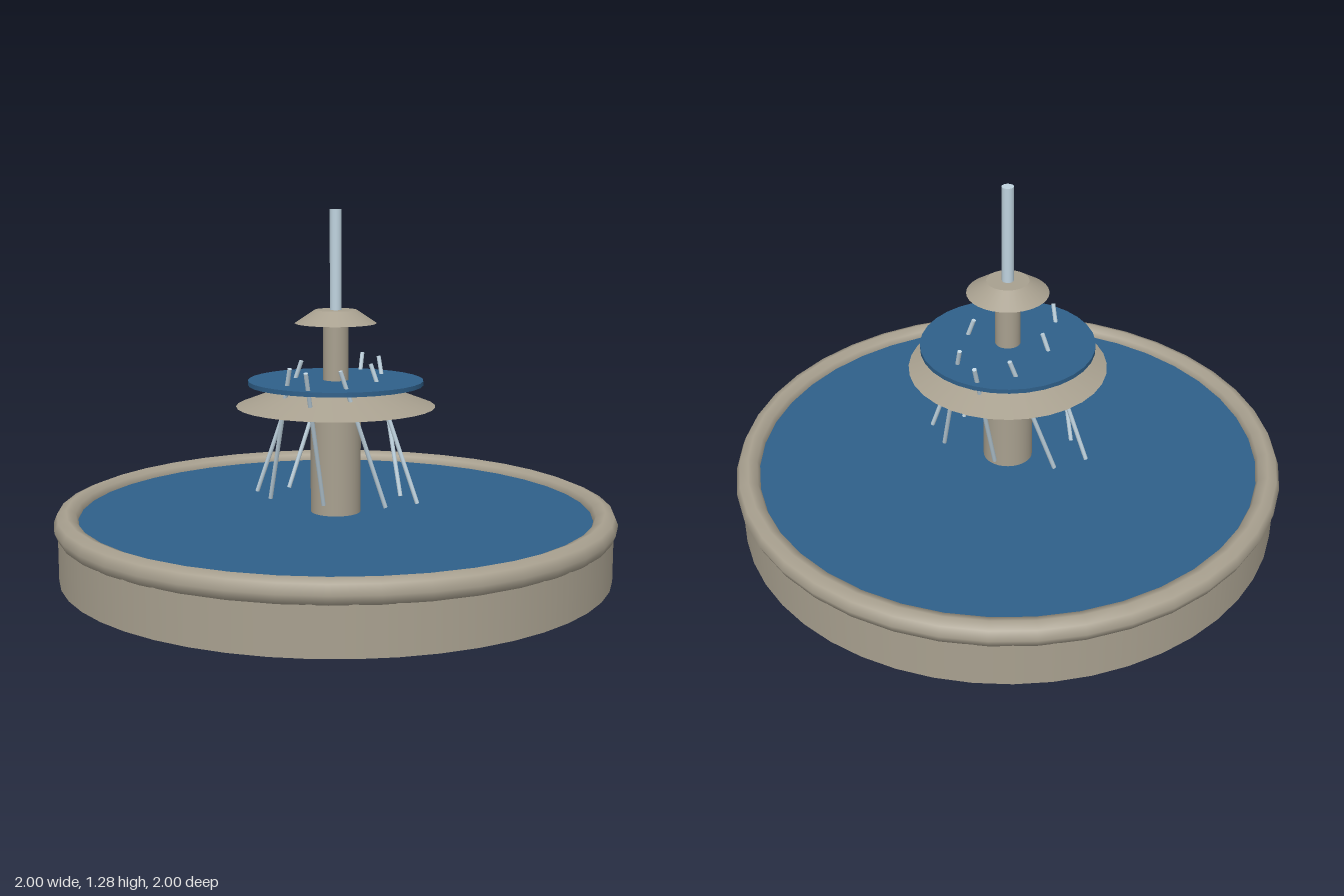
import * as THREE from 'three';

const stone = new THREE.MeshStandardMaterial({ color: 0xa8a08f });
const water = new THREE.MeshStandardMaterial({ color: 0x2f608a });
const spray = new THREE.MeshStandardMaterial({ color: 0xbfd3df });

export function createModel() {
  const fountain = new THREE.Group();
  fountain.name = 'fountain';

  const add = (name, geometry, material) => {
    const mesh = new THREE.Mesh(geometry, material);
    mesh.name = name;
    fountain.add(mesh);
    return mesh;
  };

  // Upright round part between two heights
  const drum = (name, rTop, rBottom, y0, y1, material, sides = 32) => {
    const mesh = add(name, new THREE.CylinderGeometry(rTop, rBottom, y1 - y0, sides), material);
    mesh.position.y = (y0 + y1) / 2;
    return mesh;
  };

  // Pool with a rounded rim
  drum('basin', 0.985, 0.985, 0, 0.18, stone, 48);
  const rim = add('basinRim', new THREE.TorusGeometry(0.955, 0.045, 8, 40), stone);
  rim.rotation.x = Math.PI / 2;
  rim.position.y = 0.195;
  drum('poolWater', 0.93, 0.93, 0.17, 0.205, water, 48);

  // Lower column, flared tier and its water
  drum('pedestal', 0.09, 0.09, 0.18, 0.6, stone);
  drum('tierBowl', 0.14, 0.355, 0.59, 0.672, stone);
  drum('tierWater', 0.312, 0.312, 0.667, 0.683, water);

  // Upper column, cap and central jet
  drum('upperColumn', 0.045, 0.045, 0.67, 0.89, stone);
  drum('topCap', 0.075, 0.145, 0.885, 0.932, stone);
  drum('centralJet', 0.021, 0.021, 0.93, 1.285, spray, 16);

  // Ring of eight slanted jets passing through the tier
  for (let i = 0; i < 8; i++) {
    const a = (i * Math.PI) / 4;
    const c = Math.cos(a), s = Math.sin(a);
    const bottom = new THREE.Vector3(0.305 * c, 0.255, 0.13 * s);
    const top = new THREE.Vector3(0.13 * c, 0.745, 0.305 * s);
    const axis = top.clone().sub(bottom);
    const jet = add('slantedJet', new THREE.CylinderGeometry(0.008, 0.008, axis.length(), 8), spray);
    jet.position.copy(bottom).add(top).multiplyScalar(0.5);
    jet.quaternion.setFromUnitVectors(new THREE.Vector3(0, 1, 0), axis.normalize());
  }

  return fountain;
}
